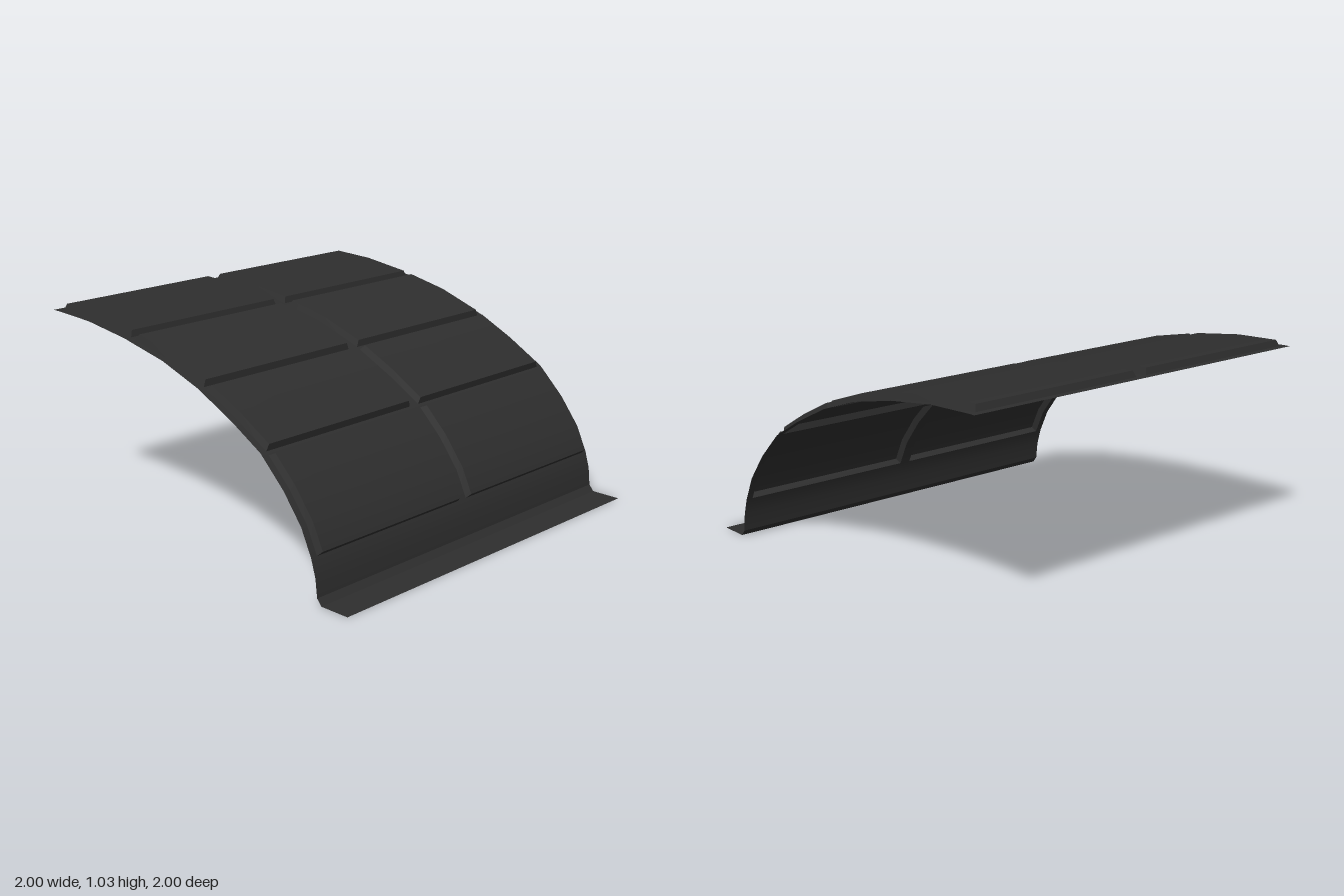
import * as THREE from 'three';
import { mergeGeometries } from 'three/addons/utils/BufferGeometryUtils.js';

// Curved cross-section of the thin sheet, from the upper edge down to the foot
const PROFILE = [
  [-1, 1.0], [-0.965, 1.0], [-0.72, 0.99], [-0.44, 0.953],
  [-0.41, 0.946], [-0.17, 0.896], [0.073, 0.814],
  [0.092, 0.805], [0.295, 0.708], [0.477, 0.605],
  [0.492, 0.591], [0.62, 0.467], [0.726, 0.33], [0.785, 0.205],
  [0.81, 0.12], [0.82, 0.03],
].map(([x, y]) => new THREE.Vector2(x, y));

// First and last profile point of each raised panel, and the two panel rows in z
const SPANS = [[1, 3], [4, 6], [7, 9], [10, 13]];
const ROWS = [[-0.965, -0.03], [0.03, 0.965]];
const RAISE = 0.031, INSET = 0.012;

// Smooth outward normals along the profile
const NORMALS = PROFILE.map((p, i) => {
  const a = PROFILE[Math.max(i - 1, 0)], b = PROFILE[Math.min(i + 1, PROFILE.length - 1)];
  return new THREE.Vector2(a.y - b.y, b.x - a.x).normalize();
});

const atZ = (points, z) => points.map((p) => new THREE.Vector3(p.x, p.y, z));

// Surface between two edges; it faces (b - a) x (direction of travel)
function strip(a, b, normals) {
  const pos = [], index = [], norm = [];
  a.forEach((p, i) => {
    pos.push(...p.toArray(), ...b[i].toArray());
    if (normals) for (let k = 0; k < 2; k++) norm.push(normals[i].x, normals[i].y, 0);
    if (i > 0) {
      const k = 2 * (i - 1);
      index.push(k, k + 1, k + 3, k, k + 3, k + 2);
    }
  });
  const g = new THREE.BufferGeometry();
  g.setAttribute('position', new THREE.Float32BufferAttribute(pos, 3));
  g.setIndex(index);
  if (normals) g.setAttribute('normal', new THREE.Float32BufferAttribute(norm, 3));
  else g.computeVertexNormals();
  return g;
}

// Piece of the sheet between profile points i..j and z0..z1
function sheet(i, j, z0, z1) {
  const pts = PROFILE.slice(i, j + 1);
  return strip(atZ(pts, z0), atZ(pts, z1), NORMALS.slice(i, j + 1));
}

// Raised hollow panel: sloping walls and a curved top
function panel(i, j, z0, z1) {
  const low = PROFILE.slice(i, j + 1), normals = NORMALS.slice(i, j + 1);
  const high = low.map((p, k) => p.clone().addScaledVector(normals[k], RAISE));
  const n = high.length - 1;
  const pull = (from, to) => from.addScaledVector(to.clone().sub(from).normalize(), INSET);
  pull(high[0], high[1]);
  pull(high[n], high[n - 1]);
  const lowBack = atZ(low, z0), lowFront = atZ(low, z1);
  const topBack = atZ(high, z0 + INSET), topFront = atZ(high, z1 - INSET);
  return mergeGeometries([
    strip(topBack, topFront, normals),
    strip(topFront, lowFront),
    strip(lowBack, topBack),
    strip([topBack[0], topFront[0]], [lowBack[0], lowFront[0]]),
    strip([lowBack[n], lowFront[n]], [topBack[n], topFront[n]]),
  ]);
}

export function createModel() {
  const group = new THREE.Group();
  group.name = 'curvedPanelSheet';
  const charcoal = new THREE.MeshStandardMaterial({ color: 0x2e2e2e, side: THREE.DoubleSide });
  charcoal.name = 'charcoal';
  const add = (geometry, name) => {
    const mesh = new THREE.Mesh(geometry, charcoal);
    mesh.name = name;
    group.add(mesh);
  };

  // Curved rails along the two edges and the middle
  [[-1, -0.965], [-0.03, 0.03], [0.965, 1]].forEach(([z0, z1]) => add(sheet(0, 13, z0, z1), 'curvedRail'));

  // Cross strips and raised panels in both rows
  for (const [z0, z1] of ROWS) {
    [[0, 1], [3, 4], [6, 7], [9, 10]].forEach(([i, j]) => add(sheet(i, j, z0, z1), 'crossStrip'));
    SPANS.forEach(([i, j]) => add(panel(i, j, z0, z1), 'raisedPanel'));
  }

  // Steep skirt, bevel and flat flange at the foot
  add(sheet(13, 15, -1, 1), 'skirt');
  const foot = [PROFILE[15], new THREE.Vector2(0.845, 0), new THREE.Vector2(1, 0)];
  ['footBevel', 'footFlange'].forEach((name, i) => {
    const pts = foot.slice(i, i + 2);
    add(strip(atZ(pts, -1), atZ(pts, 1)), name);
  });
  return group;
}
